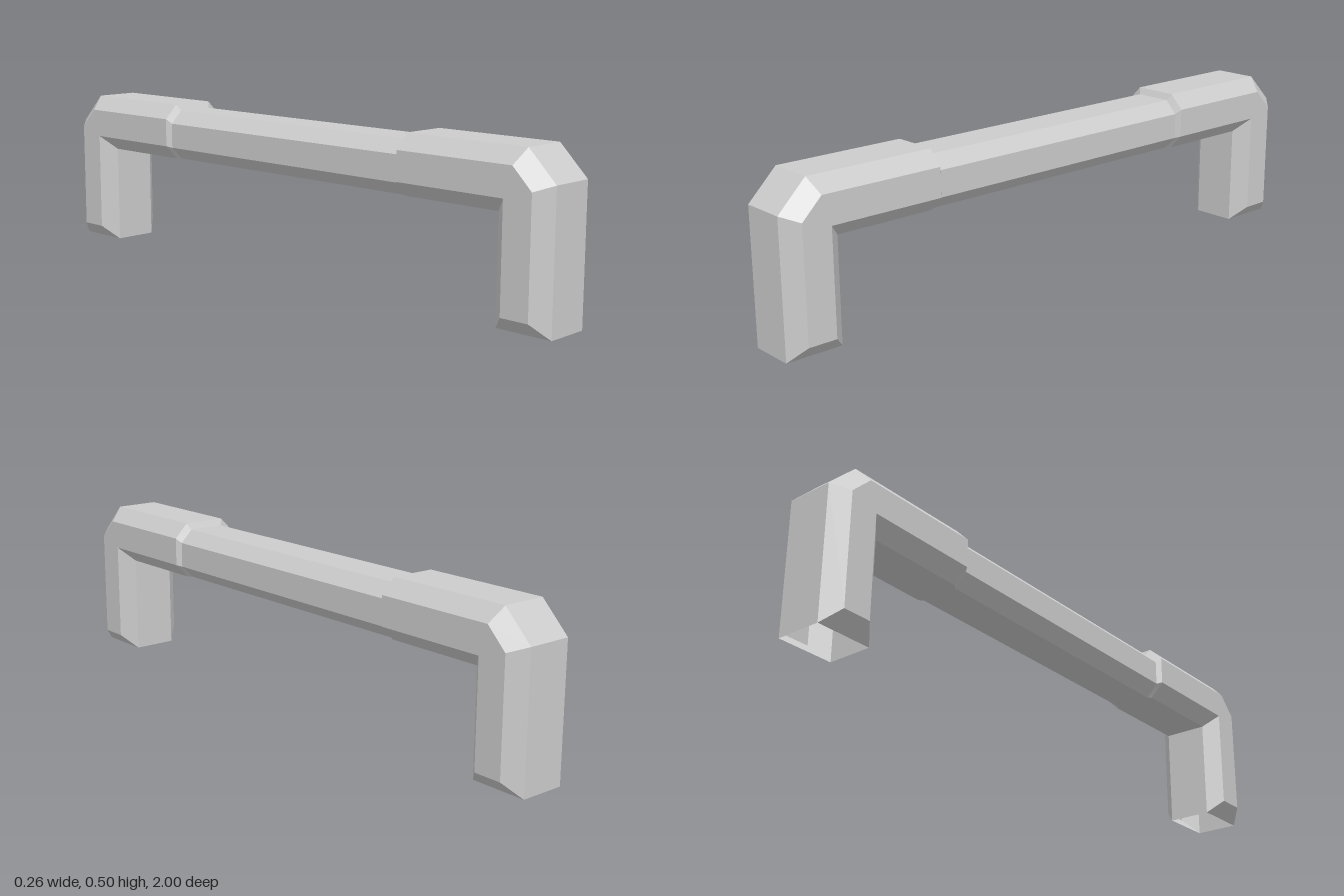
import * as THREE from 'three';

// Cross-section: half widths of flat and side, then [z, y] of the four
// levels: outer flat, outer side, inner side, inner flat.
const section = (flat, side, levels) => ({ flat, side, levels });
const upright = (z, flat, side, ys) => section(flat, side, ys.map(y => [z, y]));

// Stations from the middle of the grip down to the foot of one leg
const HALF = [
  upright(0.488, 0.06, 0.1, [0.48, 0.44, 0.36, 0.32]),
  upright(0.5, 0.071, 0.115, [0.5, 0.455, 0.365, 0.32]),
  section(0.071, 0.115, [[0.91, 0.5], [0.892, 0.455], [0.865, 0.365], [0.82, 0.32]]),
  section(0.071, 0.115, [[1, 0.41], [0.955, 0.392], [0.865, 0.365], [0.82, 0.32]]),
  section(0.071, 0.115, [[1, 0], [0.955, 0.045], [0.865, 0.045], [0.82, 0]]),
];

// Eight-cornered ring, mirrored across x
function ring({ flat, side, levels }, zSign) {
  const w = [flat, side, side, flat];
  const right = levels.map(([z, y], i) => [w[i], y, z * zSign]);
  const left = right.map(([x, y, z]) => [-x, y, z]).reverse();
  return [left[3], ...right, ...left.slice(0, 3)];
}

function handleGeometry() {
  const rings = [
    ...[...HALF].reverse().map(s => ring(s, -1)),
    ...HALF.map(s => ring(s, 1)),
  ];
  const pos = [];
  const quad = (a, b, c, d) => pos.push(...a, ...b, ...c, ...a, ...c, ...d);

  // Skin between neighbouring rings
  for (let s = 0; s < rings.length - 1; s++) {
    const p = rings[s], q = rings[s + 1];
    for (let j = 0; j < 8; j++) {
      const k = (j + 1) % 8;
      quad(p[j], q[j], q[k], p[k]);
    }
  }
  // Bevels at the sides of the open feet
  const first = rings[0], last = rings[rings.length - 1];
  for (const j of [1, 5]) {
    const ids = [j, j + 1, j + 2, (j + 3) % 8];
    quad(...ids.map(i => first[i]));
    quad(...ids.map(i => last[i]).reverse());
  }

  const geo = new THREE.BufferGeometry();
  geo.setAttribute('position', new THREE.Float32BufferAttribute(pos, 3));
  geo.computeVertexNormals();
  return geo;
}

export function createModel() {
  const group = new THREE.Group();
  group.name = 'pullHandle';
  const material = new THREE.MeshStandardMaterial({
    color: 0xcccccc, flatShading: true, side: THREE.DoubleSide,
  });
  const handle = new THREE.Mesh(handleGeometry(), material);
  handle.name = 'handleBar';
  handle.rotation.y = 0.014; // slightly askew
  group.add(handle);
  return group;
}
